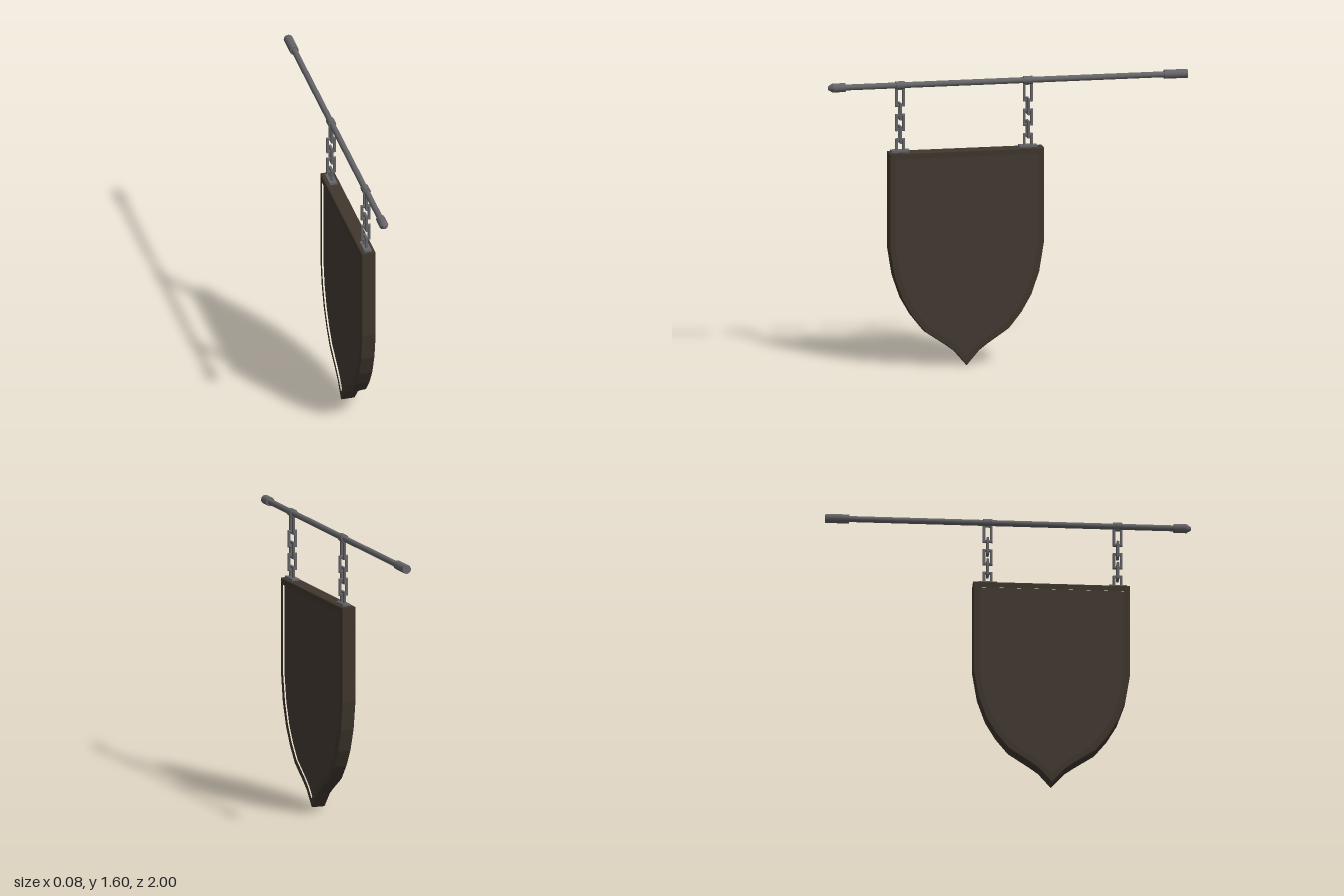
import * as THREE from 'three';

const metal = new THREE.MeshStandardMaterial({ color: 0x66666a });
metal.name = 'grey iron';
const frameWood = new THREE.MeshStandardMaterial({ color: 0x40372d });
frameWood.name = 'dark wood frame';
const panelWood = new THREE.MeshStandardMaterial({ color: 0x443a32 });
panelWood.name = 'dark wood panel';

const POLE_Y = 1.572;
const SHIELD_Z = 0.236;

// half outlines of the shield: [half width, height], from top corner to tip
const OUTER = [[0.43, 1.2], [0.43, 0.67], [0.404, 0.51], [0.36, 0.383], [0.305, 0.287],
  [0.236, 0.2], [0.118, 0.12], [0.07, 0.084], [0, 0.002]];
const INNER = [[0.4, 1.17], [0.4, 0.67], [0.374, 0.517], [0.333, 0.398], [0.281, 0.306],
  [0.216, 0.224], [0.104, 0.147], [0.055, 0.108], [0, 0.046]];

function mirroredPoints(half) {
  const other = half.slice(0, -1).reverse().map(([x, y]) => [-x, y]);
  return [...half, ...other].map(([x, y]) => new THREE.Vector2(x, y));
}

function add(parent, name, geometry, material, x = 0, y = 0, z = 0) {
  const mesh = new THREE.Mesh(geometry, material);
  mesh.name = name;
  mesh.position.set(x, y, z);
  parent.add(mesh);
  return mesh;
}

// cylinder lying along z between two points
function rod(parent, name, z0, z1, rBack, rFront) {
  const g = new THREE.CylinderGeometry(rFront, rBack, z1 - z0, 16).rotateX(Math.PI / 2);
  return add(parent, name, g, metal, 0, POLE_Y, (z0 + z1) / 2);
}

// extrusion centred on its thickness, facing sideways along x
function sidewaysExtrude(shape, thickness, bevel) {
  const depth = thickness - 2 * bevel;
  const g = new THREE.ExtrudeGeometry(shape, {
    depth, bevelEnabled: bevel > 0, bevelSize: bevel, bevelThickness: bevel,
    bevelOffset: -bevel, bevelSegments: 1,
  });
  return g.translate(0, 0, -depth / 2).rotateY(-Math.PI / 2);
}

function rectanglePoints(w, h) {
  return [[w, -h], [w, h], [-w, h], [-w, -h]].map(([x, y]) => new THREE.Vector2(x / 2, y / 2));
}

function linkGeometry(width, height, bar) {
  const shape = new THREE.Shape(rectanglePoints(width, height));
  shape.holes.push(new THREE.Path(rectanglePoints(width - 2 * bar, height - 2 * bar)));
  return sidewaysExtrude(shape, bar, 0.002);
}

// collar on the pole, five alternating links and a foot plate
function chain(z) {
  const group = new THREE.Group();
  group.name = 'chain';
  rod(group, 'poleCollar', z - 0.025, z + 0.025, 0.0225, 0.0225);
  const spans = [[1.453, 1.56], [1.38, 1.475], [1.317, 1.412], [1.25, 1.347], [1.195, 1.276]];
  spans.forEach(([low, high], i) => {
    const link = add(group, 'chainLink', linkGeometry(0.054, high - low, 0.014), metal, 0, (low + high) / 2, z);
    if (i % 2) link.rotation.y = Math.PI / 2;
  });
  add(group, 'footPlate', new THREE.BoxGeometry(0.042, 0.014, 0.1), metal, 0, 1.205, z);
  return group;
}

export function createModel() {
  const model = new THREE.Group();
  model.name = 'hangingShieldSign';

  // pole with end caps
  const pole = new THREE.Group();
  pole.name = 'pole';
  rod(pole, 'poleRod', -0.95, 0.95, 0.0165, 0.0165);
  rod(pole, 'backCap', -1, -0.87, 0.025, 0.025);
  rod(pole, 'frontCap', 0.905, 0.976, 0.025, 0.025);
  rod(pole, 'frontTip', 0.976, 1, 0.025, 0.01);
  model.add(pole);

  // chains
  for (const z of [0.6, -0.112]) model.add(chain(z));

  // shield: raised frame around a recessed panel
  const shield = new THREE.Group();
  shield.name = 'shield';
  const frame = new THREE.Shape(mirroredPoints(OUTER));
  frame.holes.push(new THREE.Path(mirroredPoints(INNER)));
  add(shield, 'shieldFrame', sidewaysExtrude(frame, 0.08, 0.004), frameWood);
  add(shield, 'shieldPanel', sidewaysExtrude(new THREE.Shape(mirroredPoints(INNER)), 0.06, 0), panelWood);
  shield.position.z = SHIELD_Z;
  model.add(shield);

  return model;
}
